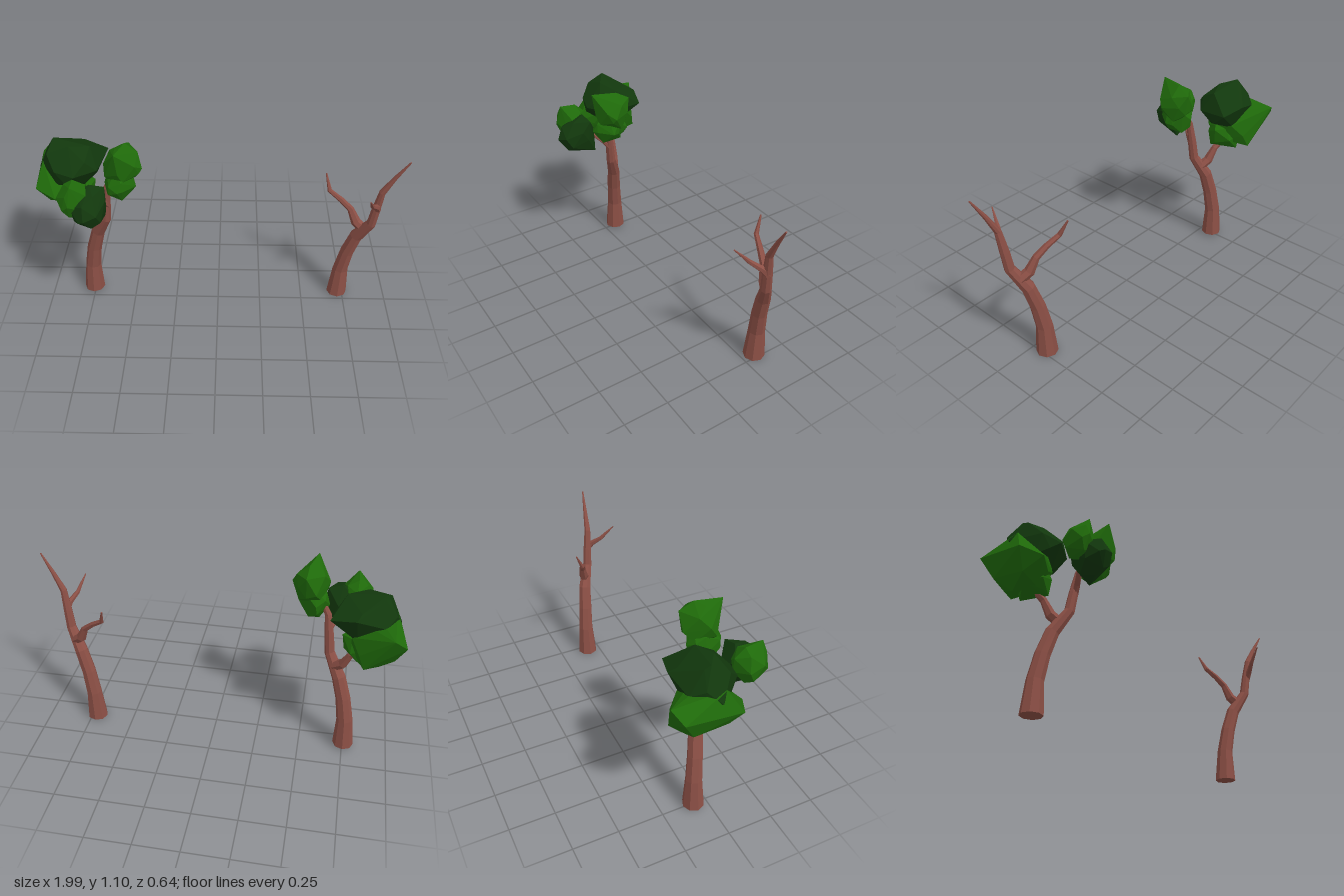
import * as THREE from 'three';
import { ConvexGeometry } from 'three/addons/geometries/ConvexGeometry.js';

const material = (color) => new THREE.MeshStandardMaterial({ color, flatShading: true });

// Lofted limb through [x, y, z, radius] stations, closed at both ends
function limbGeometry(stations, sides, flatStart) {
  const centres = stations.map(([x, y, z]) => new THREE.Vector3(x, y, z));
  const up = new THREE.Vector3(0, 1, 0);
  const last = centres.length - 1;
  const positions = [];
  const index = [];
  centres.forEach((c, j) => {
    const tangent = centres[Math.min(j + 1, last)].clone().sub(centres[Math.max(j - 1, 0)]).normalize();
    if (j === 0 && flatStart) tangent.copy(up);
    const turn = new THREE.Quaternion().setFromUnitVectors(up, tangent);
    for (let i = 0; i < sides; i++) {
      const a = (i / sides) * Math.PI * 2;
      const p = new THREE.Vector3(Math.cos(a), 0, Math.sin(a));
      p.multiplyScalar(stations[j][3]).applyQuaternion(turn).add(c);
      positions.push(p.x, p.y, p.z);
    }
  });
  const start = positions.length / 3;
  positions.push(...centres[0].toArray(), ...centres[last].toArray());
  for (let i = 0; i < sides; i++) {
    const n = (i + 1) % sides;
    for (let j = 0; j < last; j++) {
      const a = j * sides + i, b = j * sides + n;
      index.push(a, a + sides, b, b, a + sides, b + sides);
    }
    index.push(start, i, n, start + 1, last * sides + n, last * sides + i);
  }
  const geometry = new THREE.BufferGeometry();
  geometry.setAttribute('position', new THREE.Float32BufferAttribute(positions, 3));
  geometry.setIndex(index);
  geometry.computeVertexNormals();
  return geometry;
}

// Faceted leaf clump filling an ellipsoid, with optional extra corner points
function clumpGeometry([cx, cy, cz], [rx, ry, rz], seed, corners) {
  let s = seed;
  const rand = () => (s = (s * 16807) % 2147483647) / 2147483647;
  const count = 20;
  const points = corners.map((c) => new THREE.Vector3(...c));
  for (let i = 0; i < count; i++) {
    const h = 1 - (2 * (i + 0.5)) / count;
    const a = i * 2.39996 + seed + (rand() - 0.5) * 0.7;
    const w = Math.sqrt(1 - h * h);
    const r = 0.95 + rand() * 0.13;
    points.push(new THREE.Vector3(cx + w * Math.cos(a) * r * rx, cy + h * r * ry, cz + w * Math.sin(a) * r * rz));
  }
  return new ConvexGeometry(points);
}

// Trunk with its two side branches
function createWood(bark) {
  const wood = new THREE.Group();
  wood.name = 'wood';
  const limbs = {
    trunk: [[0.72, 0, -0.075, 0.059], [0.727, 0.18, -0.075, 0.045], [0.75, 0.32, -0.062, 0.041],
      [0.787, 0.45, -0.045, 0.038], [0.85, 0.575, 0.004, 0.028], [0.862, 0.68, 0.014, 0.025],
      [0.878, 0.8, 0.027, 0.019], [0.93, 0.9, 0.038, 0.012], [0.994, 1.008, 0.053, 0.004]],
    backBranch: [[0.82, 0.51, -0.03, 0.028], [0.775, 0.545, -0.052, 0.028], [0.74, 0.62, -0.07, 0.019],
      [0.685, 0.668, -0.09, 0.016], [0.62, 0.712, -0.115, 0.013], [0.598, 0.8, -0.155, 0.004]],
    frontBranch: [[0.87, 0.675, 0.015, 0.019], [0.857, 0.715, 0.045, 0.017],
      [0.822, 0.757, 0.095, 0.012], [0.812, 0.785, 0.12, 0.009], [0.792, 0.835, 0.167, 0.003]],
  };
  for (const [name, stations] of Object.entries(limbs)) {
    const isTrunk = name === 'trunk';
    const mesh = new THREE.Mesh(limbGeometry(stations, isTrunk ? 8 : 6, isTrunk), bark);
    mesh.name = name;
    wood.add(mesh);
  }
  return wood;
}

export function createModel() {
  const model = new THREE.Group();
  model.name = 'trees';
  const bark = material(0x8b4f45);
  const lightLeaf = material(0x1f6a0a);
  const darkLeaf = material(0x12380d);

  // Bare tree
  const bareTree = new THREE.Group();
  bareTree.name = 'bareTree';
  bareTree.add(createWood(bark));

  // Leafy tree: the same wood, moved across, plus leaf clumps
  const leafyTree = new THREE.Group();
  leafyTree.name = 'leafyTree';
  const wood = createWood(bark);
  wood.position.set(-1.475, 0.012, 0);
  leafyTree.add(wood);

  const clumps = [
    ['topClump', lightLeaf, [-0.5, 0.975, 0.055], [0.1, 0.11, 0.1], 3,
      [[-0.52, 1.098, 0.165], [-0.48, 1.093, 0.03], [-0.392, 0.97, 0.08], [-0.47, 1.05, -0.045]]],
    ['lowerTopClump', lightLeaf, [-0.52, 0.875, 0.065], [0.082, 0.095, 0.095], 21,
      [[-0.55, 0.775, 0.05], [-0.52, 0.87, 0.17], [-0.43, 0.86, 0.08]]],
    ['frontDarkClump', darkLeaf, [-0.67, 0.805, 0.2], [0.096, 0.11, 0.11], 11,
      [[-0.68, 0.79, 0.318], [-0.585, 0.9, 0.15], [-0.6, 0.7, 0.12], [-0.66, 0.92, 0.16]]],
    ['frontLightClump', lightLeaf, [-0.74, 0.855, 0.195], [0.088, 0.1, 0.092], 5,
      [[-0.74, 0.965, 0.26]]],
    ['backDarkClump', darkLeaf, [-0.8, 0.9, -0.08], [0.168, 0.138, 0.15], 8,
      [[-0.61, 0.92, -0.2], [-0.88, 1.042, -0.1], [-0.74, 0.95, -0.24], [-0.76, 0.9, 0.075]]],
    ['backLightClump', lightLeaf, [-0.85, 0.785, -0.11], [0.14, 0.13, 0.165], 14,
      [[-0.93, 0.91, -0.32], [-0.995, 0.85, -0.28], [-0.8, 0.685, -0.26], [-0.87, 0.77, 0.085],
        [-0.98, 0.8, 0.03], [-0.88, 0.652, -0.14], [-0.94, 0.93, -0.05]]],
    ['lowerBackClump', lightLeaf, [-0.79, 0.73, -0.095], [0.1, 0.085, 0.1], 17,
      [[-0.73, 0.65, -0.04], [-0.8, 0.645, -0.18], [-0.68, 0.78, -0.1]]],
  ];
  for (const [name, leaf, centre, radii, seed, corners] of clumps) {
    const mesh = new THREE.Mesh(clumpGeometry(centre, radii, seed, corners), leaf);
    mesh.name = name;
    leafyTree.add(mesh);
  }

  model.add(bareTree, leafyTree);
  return model;
}
